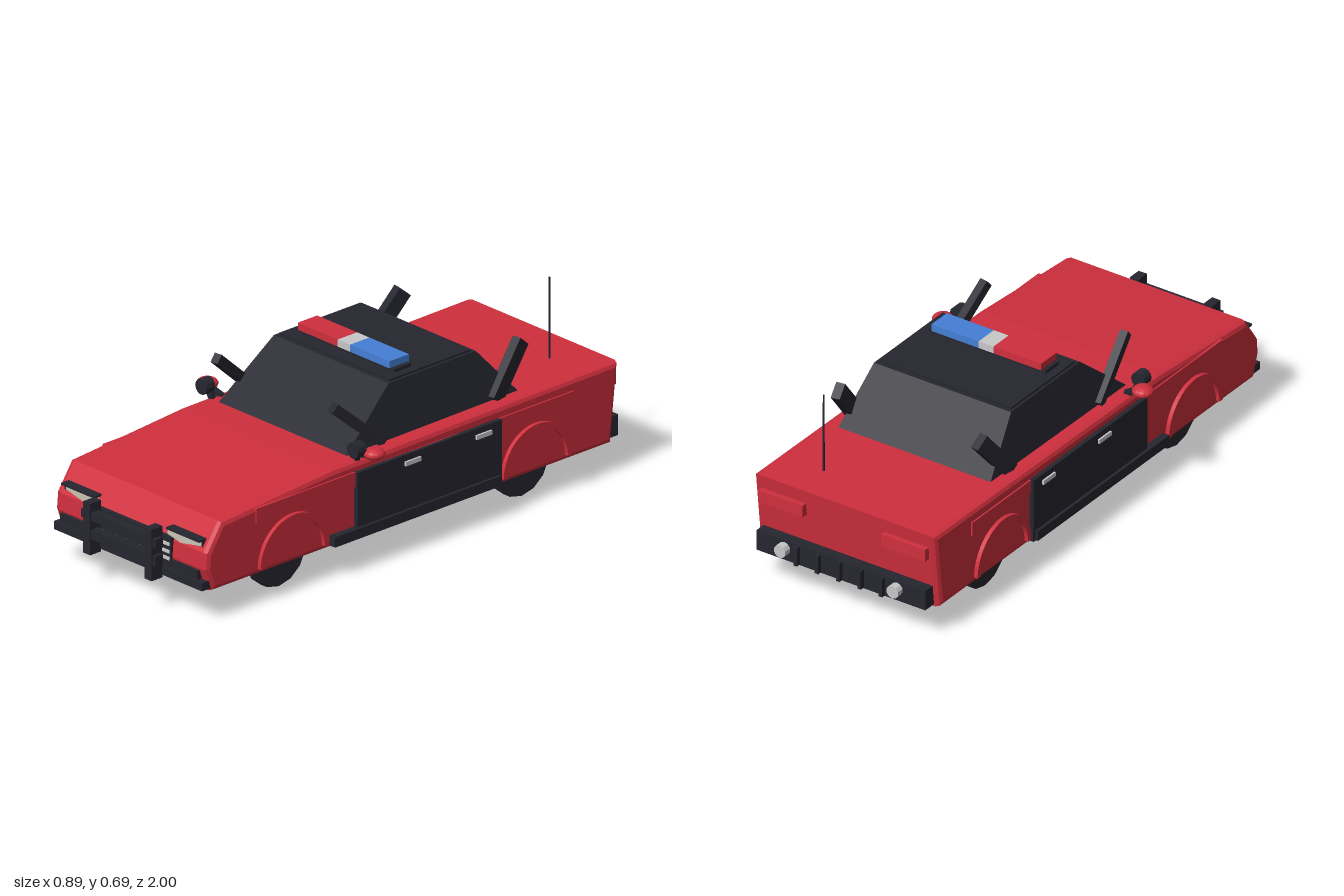
import * as THREE from 'three';

const material = (name, color, flat = true) => {
  const m = new THREE.MeshStandardMaterial({ color });
  m.name = name;
  m.flatShading = flat;
  return m;
};

export function createModel() {
  const car = new THREE.Group();
  car.name = 'patrolCar';
  const red = material('red paint', 0xcf2f3d);
  const dark = material('dark trim', 0x262630);
  const silver = material('silver', 0xc8c8ca);
  const beige = material('headlight glass', 0xc9c5b5);
  const blue = material('blue light', 0x457fd6);

  const add = (name, geometry, mat, x = 0, y = 0, z = 0) => {
    const mesh = new THREE.Mesh(geometry, mat);
    mesh.name = name;
    mesh.position.set(x, y, z);
    car.add(mesh);
    return mesh;
  };
  // Box given by its limits on each axis
  const box = (name, mat, x0, x1, y0, y1, z0, z1) => add(name,
    new THREE.BoxGeometry(Math.abs(x1 - x0), y1 - y0, z1 - z0), mat,
    (x0 + x1) / 2, (y0 + y1) / 2, (z0 + z1) / 2);
  // Slanted box from point a to point b
  const bar = (name, mat, a, b, width, thick) => {
    const from = new THREE.Vector3(...a), to = new THREE.Vector3(...b);
    const mid = from.clone().lerp(to, 0.5);
    const mesh = add(name, new THREE.BoxGeometry(width, thick, from.distanceTo(to)), mat, mid.x, mid.y, mid.z);
    mesh.lookAt(to);
    return mesh;
  };
  const shapeOf = (points) => new THREE.Shape(points.map(([a, b]) => new THREE.Vector2(a, b)));

  // Body: side profile (z, y) extruded across the width
  const profile = shapeOf([
    [-0.92, 0.107], [0.912, 0.107], [0.94, 0.19], [0.935, 0.25],
    [0.868, 0.348], [0.36, 0.386], [-0.952, 0.396],
  ]);
  const bodyGeo = new THREE.ExtrudeGeometry(profile, {
    depth: 0.70, bevelThickness: 0.02, bevelSize: 0.018, bevelOffset: -0.018, bevelSegments: 2,
  });
  bodyGeo.translate(0, 0, -0.35).rotateY(-Math.PI / 2);
  add('body', bodyGeo, red);

  // Cabin: box tapered towards the roof
  const cabinGeo = new THREE.BoxGeometry(1, 1, 1);
  const p = cabinGeo.attributes.position;
  for (let i = 0; i < p.count; i++) {
    const top = p.getY(i) > 0, front = p.getZ(i) > 0;
    p.setXYZ(i, Math.sign(p.getX(i)) * (top ? 0.28 : 0.312), top ? 0.575 : 0.385,
      top ? (front ? 0.02 : -0.38) : (front ? 0.245 : -0.55));
  }
  cabinGeo.computeVertexNormals();
  add('cabin', cabinGeo, dark);
  box('roofPanel', dark, -0.27, 0.27, 0.57, 0.582, -0.365, 0.005);

  // Roof light bar
  box('lightBarBase', dark, -0.24, 0.24, 0.58, 0.595, -0.12, -0.045);
  box('redLight', red, -0.225, -0.03, 0.594, 0.62, -0.127, -0.038);
  box('whiteLight', silver, -0.03, 0.03, 0.594, 0.62, -0.127, -0.038);
  box('blueLight', blue, 0.03, 0.223, 0.594, 0.62, -0.127, -0.038);

  // Antenna
  add('antenna', new THREE.CylinderGeometry(0.003, 0.004, 0.3, 6), dark, 0.187, 0.54, -0.805);

  // Half-ring wheel arch shape
  const arch = new THREE.Shape();
  arch.absarc(0, 0, 0.157, 0, Math.PI, false);
  arch.absarc(0, 0, 0.137, Math.PI, 0, true);
  const archGeo = new THREE.ExtrudeGeometry(arch, { depth: 0.04, bevelEnabled: false, curveSegments: 16 });
  archGeo.translate(0, 0, -0.02).rotateY(Math.PI / 2);
  const wheelGeo = new THREE.CylinderGeometry(0.125, 0.125, 0.03, 14);
  wheelGeo.rotateY(Math.PI / 14).rotateZ(Math.PI / 2);
  const mirrorGeo = new THREE.SphereGeometry(1, 14, 10).scale(0.038, 0.021, 0.038);
  const lampGeo = new THREE.CylinderGeometry(0.028, 0.028, 0.04, 12).rotateX(Math.PI / 2);

  for (const s of [1, -1]) {
    const side = s > 0 ? 'left' : 'right';
    const sideBox = (name, mat, x0, x1, ...rest) => box(side + name, mat, s * x0, s * x1, ...rest);

    // Wheels and arches
    for (const [end, z] of [['Front', 0.547], ['Rear', -0.567]]) {
      add(`${side}${end}Wheel`, wheelGeo, dark, s * 0.29, 0.125, z);
      add(`${side}${end}Arch`, archGeo, red, s * 0.365, 0.13, z);
    }

    // Doors, sills and side strip
    sideBox('Strip', red, 0.35, 0.376, 0.30, 0.353, -0.74, 0.715);
    sideBox('Door', dark, 0.35, 0.386, 0.115, 0.353, -0.40, 0.262);
    sideBox('Sill', dark, 0.35, 0.397, 0.118, 0.155, -0.39, 0.375);
    sideBox('FrontHandle', silver, 0.38, 0.393, 0.315, 0.331, -0.025, 0.045);
    sideBox('RearHandle', silver, 0.38, 0.393, 0.315, 0.331, -0.35, -0.28);

    // Slanted side fins
    bar(side + 'FrontFin', dark, [s * 0.313, 0.39, 0.08], [s * 0.285, 0.565, 0.28], 0.03, 0.035);
    bar(side + 'RearFin', dark, [s * 0.312, 0.39, -0.434], [s * 0.288, 0.56, -0.578], 0.033, 0.058);

    // Mirror and spotlight
    add(side + 'Mirror', mirrorGeo, red, s * 0.408, 0.415, 0.205);
    add(side + 'Spotlight', lampGeo, dark, s * 0.37, 0.431, 0.25);
    bar(side + 'MirrorArm', dark, [s * 0.34, 0.385, 0.2], [s * 0.39, 0.41, 0.215], 0.02, 0.02);
    bar(side + 'SpotlightArm', dark, [s * 0.35, 0.38, 0.235], [s * 0.37, 0.43, 0.24], 0.018, 0.018);

    // Headlight, swept towards the inner end
    const lens = shapeOf([[0.18, 0.268], [0.245, 0.25], [0.332, 0.25], [0.332, 0.285], [0.18, 0.285]]
      .map(([x, y]) => [s * x, y]));
    const lensGeo = new THREE.ExtrudeGeometry(lens, { depth: 0.06, bevelEnabled: false });
    const lp = lensGeo.attributes.position;
    for (let i = 0; i < lp.count; i++) lp.setZ(i, lp.getZ(i) - (Math.abs(lp.getX(i)) - 0.18) * 0.1);
    add(side + 'Headlight', lensGeo, beige, 0, 0, 0.88);
    sideBox('HeadlightBrow', dark, 0.175, 0.337, 0.284, 0.291, 0.86, 0.942);
    sideBox('HeadlightEdge', dark, 0.331, 0.338, 0.25, 0.29, 0.87, 0.926);

    // Push bar upright
    sideBox('PushBarUpright', dark, 0.133, 0.167, 0.108, 0.295, 0.95, 1.0);

    // Tail light and reversing lamp
    sideBox('TailLight', red, 0.16, 0.34, 0.30, 0.345, -0.966, -0.92);
    const lamp = add(side + 'ReversingLamp', new THREE.CylinderGeometry(0.024, 0.024, 0.035, 10), silver,
      s * 0.23, 0.16, -0.983);
    lamp.rotation.x = Math.PI / 2;
  }

  // Front bumper, grille and push bar
  box('frontBumper', dark, -0.362, 0.362, 0.118, 0.147, 0.89, 0.952);
  box('frontBumperTop', dark, -0.335, 0.335, 0.15, 0.183, 0.90, 0.948);
  box('grille', dark, -0.205, 0.205, 0.165, 0.26, 0.90, 0.946);
  for (const y of [0.185, 0.21, 0.237]) {
    box('grilleStrip', silver, -0.2, 0.2, y - 0.005, y + 0.005, 0.94, 0.952);
  }
  box('pushBarLower', dark, -0.182, 0.182, 0.165, 0.20, 0.962, 0.995);
  box('pushBarUpper', dark, -0.182, 0.182, 0.232, 0.262, 0.962, 0.995);

  // Rear bumper with ribs
  box('rearBumper', dark, -0.345, 0.345, 0.115, 0.19, -0.972, -0.90);
  for (let i = -2; i <= 2; i++) {
    box('rearBumperRib', dark, i * 0.087 - 0.007, i * 0.087 + 0.007, 0.118, 0.187, -0.99, -0.96);
  }
  return car;
}
